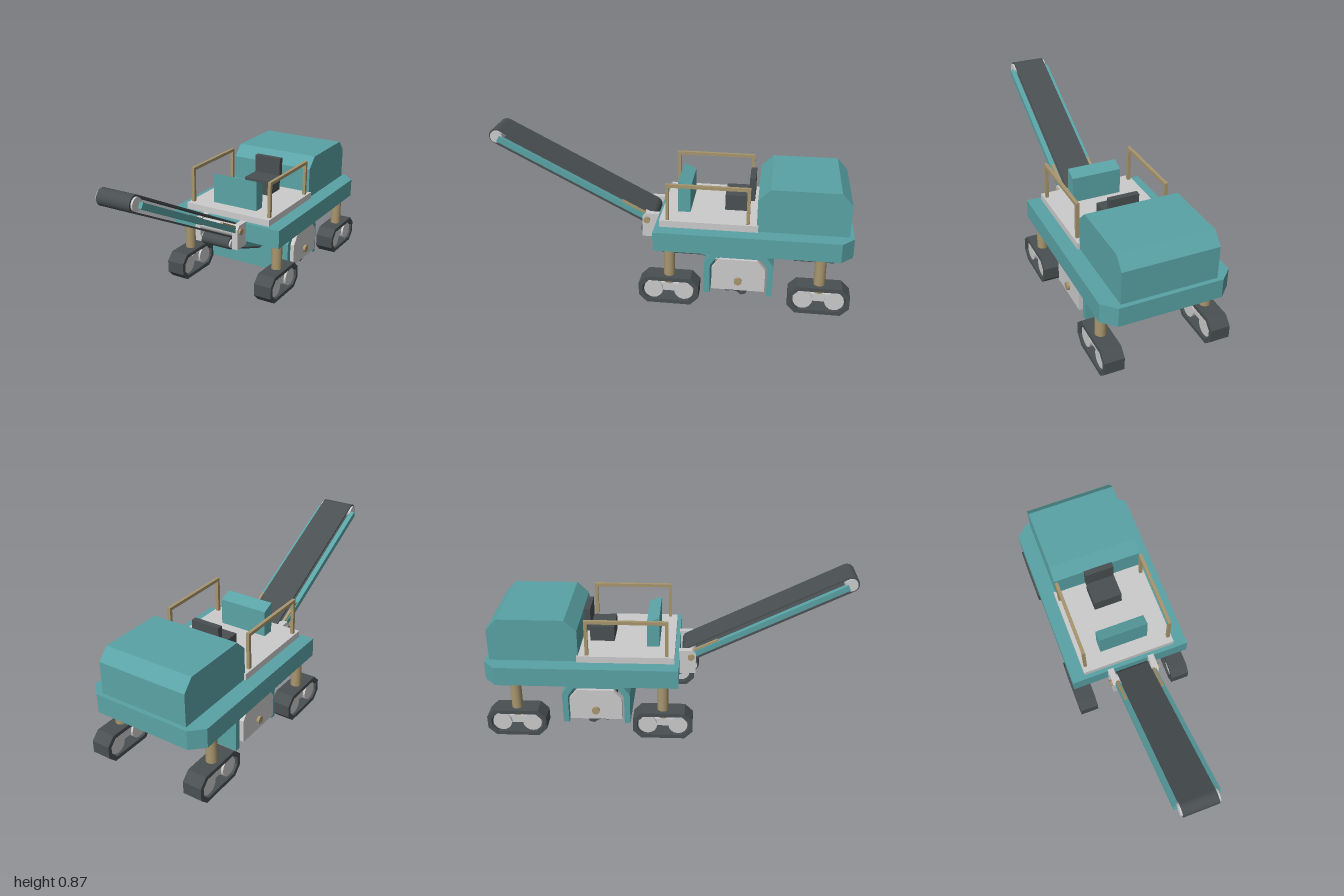
import * as THREE from 'three';

const mat = (color, flatShading = false) => new THREE.MeshStandardMaterial({ color, flatShading });
const GREY = mat(0xcccccc), TEAL = mat(0x5aa3a6), DARK = mat(0x4a5052), BROWN = mat(0xa8966e);

function add(parent, name, geometry, material, x = 0, y = 0, z = 0) {
  const mesh = new THREE.Mesh(geometry, material);
  mesh.name = name;
  mesh.position.set(x, y, z);
  parent.add(mesh);
  return mesh;
}

function group(parent, name, x = 0, y = 0, z = 0) {
  const g = new THREE.Group();
  g.name = name;
  g.position.set(x, y, z);
  parent.add(g);
  return g;
}

const box = (w, h, d) => new THREE.BoxGeometry(w, h, d);
const rod = (r, length, sides = 24) => new THREE.CylinderGeometry(r, r, length, sides).rotateZ(Math.PI / 2);
const poly = (pts) => new THREE.Shape(pts.map(([a, b]) => new THREE.Vector2(a, b)));

// Side profile of [z, y] points, extruded across x and centred on it
function sideProfile(shape, width) {
  return new THREE.ExtrudeGeometry(shape, { depth: width, bevelEnabled: false, curveSegments: 16 })
    .translate(0, 0, -width / 2).rotateY(-Math.PI / 2);
}

// Rectangle with cut corners
function cutRect(halfL, y0, y1, cut) {
  return [[-halfL + cut, y0], [halfL - cut, y0], [halfL, y0 + cut], [halfL, y1 - cut],
    [halfL - cut, y1], [-halfL + cut, y1], [-halfL, y1 - cut], [-halfL, y0 + cut]];
}

function stadium(target, length, r) {
  target.moveTo(0, -r);
  target.lineTo(length, -r);
  target.absarc(length, 0, r, -Math.PI / 2, Math.PI / 2, false);
  target.lineTo(0, r);
  target.absarc(0, 0, r, Math.PI / 2, Math.PI * 1.5, false);
  return target;
}

// Belt conveyor between two [y, z] pulley centres
function conveyor(parent, name, from, to, r, beltW, frameOuter, beamH) {
  const dy = to[0] - from[0], dz = to[1] - from[1], length = Math.hypot(dy, dz);
  const g = group(parent, name, 0, from[0], from[1]);
  g.rotation.x = -Math.atan2(dy, dz);
  const loop = stadium(new THREE.Shape(), length, r);
  loop.holes.push(stadium(new THREE.Path(), length, r - 0.009));
  add(g, 'belt', sideProfile(loop, beltW), DARK);
  for (const z of [0, length]) add(g, 'pulley', rod(r - 0.009, beltW + 0.02), GREY, 0, 0, z);
  for (const s of [-1, 1]) {
    const w = frameOuter - beltW / 2;
    add(g, 'sideBeam', box(w, beamH, length - 0.03), TEAL, s * (frameOuter - w / 2), 0, length / 2);
  }
  return g;
}

function trackUnit(parent, x, z) {
  const g = group(parent, 'trackUnit', x, 0, z);
  const shape = poly(cutRect(0.163, 0, 0.157, 0.044));
  shape.holes.push(poly(cutRect(0.141, 0.022, 0.135, 0.035)));
  add(g, 'track', sideProfile(shape, 0.106), DARK);
  for (const s of [-1, 1]) add(g, 'trackWheel', rod(0.052, 0.085, 16), GREY, 0, 0.0785, s * 0.083);
  add(g, 'trackFrame', box(0.06, 0.045, 0.17), GREY, 0, 0.09, 0);
  add(g, 'liftColumn', new THREE.CylinderGeometry(0.03, 0.03, 0.23, 24), BROWN, 0, 0.215, 0);
}

export function createModel() {
  const model = new THREE.Group();
  model.name = 'millingMachine';

  // Chassis slab with cut rear corners (drawn as x, -z and raised along y)
  const deck = poly([[-0.344, -0.055], [0.344, -0.055], [0.344, 0.93], [0.275, 0.995], [-0.275, 0.995], [-0.344, 0.93]]);
  add(model, 'chassis', new THREE.ExtrudeGeometry(deck, { depth: 0.106, bevelEnabled: false })
    .rotateX(-Math.PI / 2), TEAL, 0, 0.318, 0);

  // Engine hood
  add(model, 'engineHood', sideProfile(poly([[-0.972, 0.42], [-0.488, 0.42], [-0.488, 0.603],
    [-0.553, 0.666], [-0.914, 0.666], [-0.972, 0.603]]), 0.51), TEAL);

  // Operator platform, console and seat
  add(model, 'platform', box(0.536, 0.038, 0.527), GREY, 0, 0.442, -0.2325);
  add(model, 'console', sideProfile(poly([[-0.123, 0.458], [-0.055, 0.458], [-0.055, 0.635], [-0.123, 0.607]]), 0.28), TEAL);
  add(model, 'seatBase', box(0.165, 0.09, 0.135), DARK, 0, 0.504, -0.375);
  add(model, 'seatBack', box(0.165, 0.13, 0.032), DARK, 0, 0.588, -0.452);

  // Handrails
  for (const s of [-1, 1]) {
    const rail = group(model, 'handrail', s * 0.248, 0, 0);
    add(rail, 'topRail', box(0.018, 0.018, 0.448), BROWN, 0, 0.657, -0.226);
    for (const z of [-0.011, -0.441]) add(rail, 'railPost', box(0.018, 0.19, 0.018), BROWN, 0, 0.553, z);
  }

  // Four track units on lift columns
  for (const x of [-0.29, 0.29]) for (const z of [-0.03, -0.832]) trackUnit(model, x, z);

  // Drum shroud: an arch open at the bottom
  const drum = group(model, 'millingUnit', 0, 0, -0.401);
  add(drum, 'shroud', sideProfile(poly([[-0.187, 0.04], [-0.187, 0.222], [-0.139, 0.289], [0.139, 0.289],
    [0.187, 0.222], [0.187, 0.04], [0.155, 0.04], [0.155, 0.21], [0.122, 0.258], [-0.122, 0.258],
    [-0.155, 0.21], [-0.155, 0.04]]), 0.53), TEAL);

  // Toothed drum
  const teeth = [];
  for (let i = 0; i < 24; i++) {
    const a = (i / 24) * Math.PI * 2 + 0.1, r = i % 4 < 2 ? 0.105 : 0.085;
    teeth.push([Math.cos(a) * r, Math.sin(a) * r]);
  }
  add(drum, 'cuttingDrum', sideProfile(poly(teeth), 0.5), DARK, 0, 0.135, 0);

  // Side plates, hubs and mounts of the milling unit
  for (const s of [-1, 1]) {
    add(drum, 'sidePlate', sideProfile(poly([[-0.144, 0.077], [0.144, 0.077], [0.144, 0.205], [0.1, 0.26],
      [-0.1, 0.26], [-0.144, 0.205]]), 0.025), GREY, s * 0.27, 0, 0);
    add(drum, 'drumHub', rod(0.021, 0.03), BROWN, s * 0.282, 0.135, 0);
    add(drum, 'mount', box(0.055, 0.034, 0.178), GREY, s * 0.248, 0.304, 0);
  }

  // Conveyors
  conveyor(model, 'lowerConveyor', [0.178, -0.27], [0.32, 0.128], 0.033, 0.17, 0.115, 0.028);
  const upper = conveyor(model, 'upperConveyor', [0.395, 0.11], [0.827, 0.957], 0.043, 0.188, 0.123, 0.03);
  for (const s of [-1, 1]) add(upper, 'strut', box(0.016, 0.012, 0.16), BROWN, s * 0.109, 0.018, 0.1);

  // Conveyor pivot brackets and pins
  for (const s of [-1, 1]) {
    add(model, 'pivotBracket', sideProfile(poly([[0.05, 0.297], [0.144, 0.297], [0.144, 0.415],
      [0.125, 0.435], [0.05, 0.435]]), 0.034), GREY, s * 0.12, 0, 0);
    add(model, 'pivotPin', rod(0.018, 0.05), BROWN, s * 0.123, 0.398, 0.118);
  }
  return model;
}
